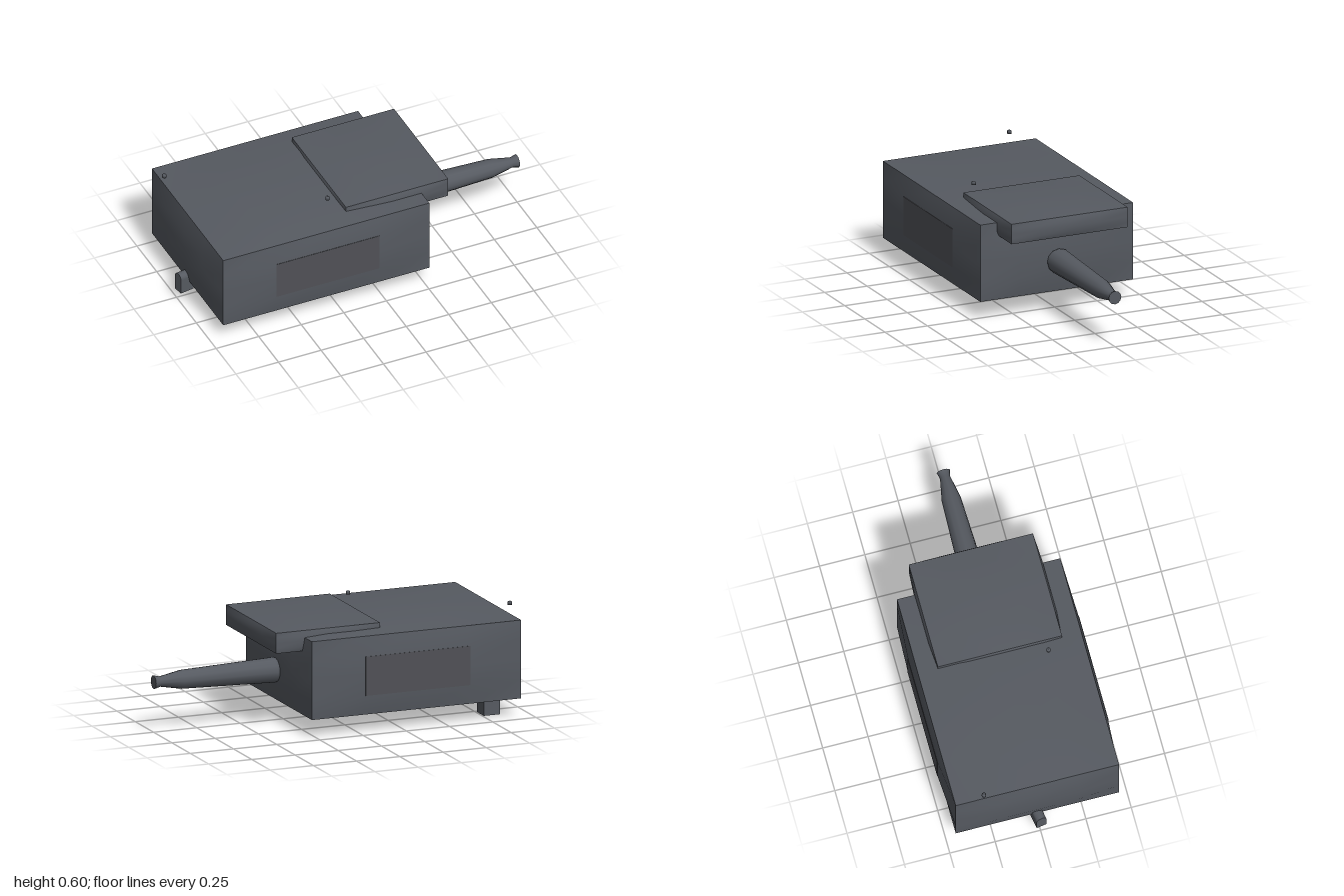
import * as THREE from 'three';

const steel = new THREE.MeshStandardMaterial({ color: 0x565a61 });
steel.name = 'blueGreySteel';
const panelGrey = new THREE.MeshStandardMaterial({ color: 0x505156 });
panelGrey.name = 'panelGrey';

function add(group, name, geometry, x, y, z, material = steel) {
  const mesh = new THREE.Mesh(geometry, material);
  mesh.name = name;
  mesh.position.set(x, y, z);
  group.add(mesh);
  return mesh;
}

// Box with straight edges whose six faces swell outwards by a fixed amount
function swollenBox(w, h, d, bulge) {
  const g = new THREE.BoxGeometry(w, h, d, 4, 4, 4);
  const p = g.attributes.position, n = g.attributes.normal;
  const half = [w / 2, h / 2, d / 2];
  for (let i = 0; i < p.count; i++) {
    const onLimit = half.filter((s, k) => Math.abs(p.getComponent(i, k)) > s - 1e-5).length;
    if (onLimit > 1) continue;
    for (let k = 0; k < 3; k++) {
      p.setComponent(i, k, p.getComponent(i, k) + n.getComponent(i, k) * bulge);
    }
  }
  g.computeVertexNormals();
  return g;
}

export function createModel() {
  const model = new THREE.Group();
  model.name = 'turret';

  // Main housing and the raised cover overhanging its muzzle end
  add(model, 'housing', swollenBox(1.21, 0.43, 0.9, 0.02), -0.33, 0.315, 0);
  add(model, 'cover', swollenBox(0.6, 0.112, 0.684, 0.011), 0.136, 0.511, 0);

  // Flat side panels
  for (const s of [1, -1]) {
    add(model, s > 0 ? 'frontPanel' : 'backPanel',
      new THREE.BoxGeometry(0.605, 0.215, 0.004), -0.33, 0.315, s * 0.47, panelGrey);
  }

  // Tapered barrel with a flared muzzle
  const profile = [[0, 0.25], [0.06, 0.28], [0.07, 0.31], [0.052, 0.84], [0.028, 0.965], [0.037, 1]]
    .map(([r, x]) => new THREE.Vector2(r, x));
  add(model, 'barrel', new THREE.LatheGeometry(profile, 12), 0, 0.275, 0).rotation.z = -Math.PI / 2;
  const cap = add(model, 'muzzleFace', new THREE.CircleGeometry(0.037, 12), 1, 0.275, 0);
  cap.rotation.y = Math.PI / 2;

  // Small sight beads above the roof
  const bead = new THREE.LatheGeometry(
    [[0, -0.01], [0.012, -0.01], [0.012, 0.004], [0.008, 0.009], [0, 0.01]]
      .map(([r, y]) => new THREE.Vector2(r, y)), 8);
  add(model, 'rearSight', bead, -0.935, 0.589, -0.295);
  add(model, 'frontSight', bead, -0.23, 0.589, 0.25);

  // Offset foot under the back edge
  add(model, 'offsetFoot', new THREE.BoxGeometry(0.095, 0.11, 0.095), -0.805, 0.055, -0.312);

  // Central mount with side flanges
  add(model, 'mountBlock', new THREE.BoxGeometry(0.17, 0.085, 0.115), -0.8, 0.056, 0);
  for (const s of [1, -1]) {
    add(model, 'mountFlange', new THREE.BoxGeometry(0.165, 0.022, 0.024), -0.8, 0.02, s * 0.069);
  }
  add(model, 'lever', new THREE.BoxGeometry(0.04, 0.045, 0.02), -0.69, 0.07, -0.053);
  add(model, 'leverTip', new THREE.BoxGeometry(0.08, 0.025, 0.02), -0.67, 0.077, 0.04);

  // Round-topped latch at the rear, turned slightly
  const arch = new THREE.Shape();
  arch.moveTo(-0.028, 0.045);
  arch.lineTo(0.028, 0.045);
  arch.lineTo(0.028, 0.132);
  arch.absarc(0, 0.132, 0.028, 0, Math.PI, false);
  const latch = new THREE.ExtrudeGeometry(arch, { depth: 0.08, bevelEnabled: false, curveSegments: 6 });
  latch.translate(0, 0, -0.04);
  add(model, 'rearLatch', latch, -0.955, 0, 0).rotation.y = Math.PI / 2 + 0.17;

  return model;
}
